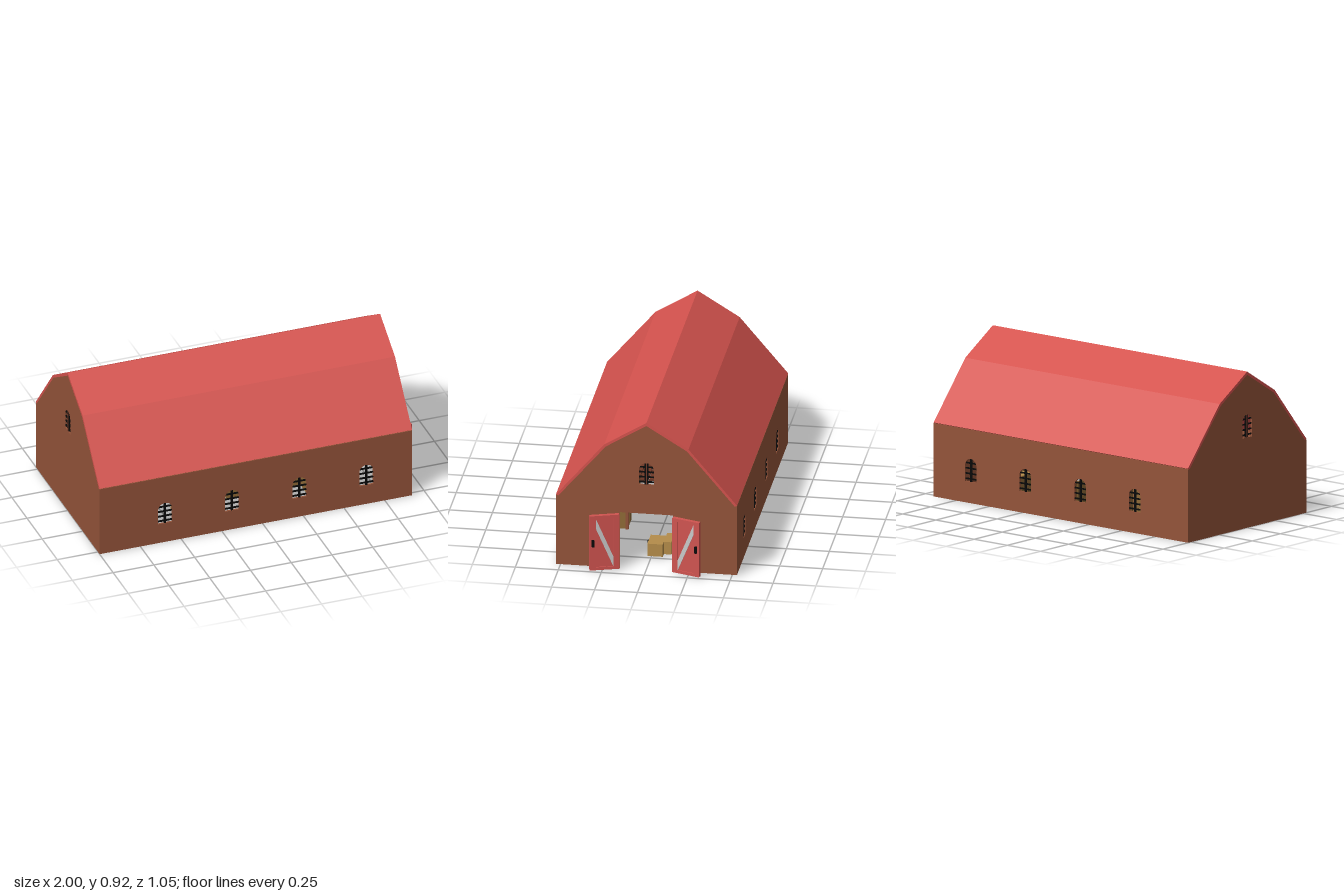
import * as THREE from 'three';

const mat = (name, color) => {
  const m = new THREE.MeshStandardMaterial({ color });
  m.name = name;
  return m;
};

export function createModel() {
  const M = {
    wall: mat('wallBrown', 0x935339),
    roof: mat('roofRed', 0xd4524d),
    door: mat('doorRed', 0xd05450),
    brace: mat('braceGrey', 0xcacaca),
    iron: mat('ironBlack', 0x080808),
    plank: mat('loftBrown', 0x713a28),
    stall: mat('stallTan', 0x8e6936),
    hay: mat('hayTan', 0xb48c4a),
    ladder: mat('ladderBlue', 0x4040b8),
  };
  const barn = new THREE.Group();
  barn.name = 'barn';
  const add = (parent, name, geo, material, x = 0, y = 0, z = 0) => {
    const m = new THREE.Mesh(geo, material);
    m.name = name;
    m.position.set(x, y, z);
    parent.add(m);
    return m;
  };
  const box = (parent, name, material, w, h, d, x, y, z) =>
    add(parent, name, new THREE.BoxGeometry(w, h, d), material, x, y, z);
  const group = (name, parent = barn) => {
    const g = new THREE.Group();
    g.name = name;
    parent.add(g);
    return g;
  };

  const X0 = -1, X1 = 0.917, HZ = 0.527, T = 0.012;
  const poly = (pts) => new THREE.Shape(pts.map(([x, y]) => new THREE.Vector2(x, y)));
  const extrude = (shape, depth) =>
    new THREE.ExtrudeGeometry(shape, { depth, bevelEnabled: false, curveSegments: 8 });
  // mirrors a half profile into a symmetric outline, starting on the right
  const mirrored = (half) => [...half, ...half.filter((p) => p[0] > 0).reverse().map(([a, b]) => [-a, b])];

  // Arched window opening and its bars
  const R = 0.043, WH = 0.135;
  const archHole = (x, y) => {
    const p = new THREE.Path();
    p.moveTo(x - R, y);
    p.lineTo(x + R, y);
    p.lineTo(x + R, y + WH - R);
    p.absarc(x, y + WH - R, R, 0, Math.PI, false);
    p.lineTo(x - R, y);
    return p;
  };
  const bars = (x, y, z, turn, mullion) => {
    const g = group('windowBars');
    g.position.set(x, y, z);
    g.rotation.y = turn;
    box(g, 'mullion', M.iron, mullion, WH, 0.008, 0, WH / 2, 0);
    for (let i = 0; i < 4; i++) {
      const h = 0.016 + i * 0.031;
      const over = Math.max(0, h - (WH - R));
      box(g, 'crossBar', M.iron, 2 * Math.sqrt(R * R - over * over), 0.008, 0.008, 0, h, 0);
    }
  };

  // Long side walls, each with four windows
  const windowXs = [-0.598, -0.187, 0.227, 0.637];
  for (const s of [1, -1]) {
    const shape = poly([[X0, 0], [X1, 0], [X1, 0.432], [X0, 0.432]]);
    for (const x of windowXs) {
      shape.holes.push(archHole(x, 0.125));
      bars(x, 0.125, s * (HZ - T / 2), 0, 0.012);
    }
    add(barn, 'sideWall', extrude(shape, T), M.wall, 0, 0, s > 0 ? HZ - T : -HZ);
  }

  // Gambrel roof, one panel for each slope
  const outer = mirrored([[HZ, 0.436], [0.245, 0.77], [0, 0.92]]);
  const inner = mirrored([[HZ - T, 0.428], [0.236, 0.757], [0, 0.901]]);
  for (let i = 0; i < 4; i++) {
    const slope = poly([outer[i], outer[i + 1], inner[i + 1], inner[i]]);
    add(barn, 'roofSlope', extrude(slope, X1 - X0).rotateY(Math.PI / 2), M.roof, X0);
  }

  // Gable walls, the right one with a doorway
  for (const right of [true, false]) {
    const E = HZ - T;
    const foot = right
      ? [[-E, 0], [-0.155, 0], [-0.155, 0.35], [0.155, 0.35], [0.155, 0], [E, 0]]
      : [[-E, 0], [E, 0]];
    const shape = poly([...foot, ...inner]);
    shape.holes.push(archHole(0, 0.532));
    const x = right ? X1 - T : X0;
    add(barn, 'gableWall', extrude(shape, T).rotateY(Math.PI / 2), M.wall, x);
    bars(x + T / 2, 0.532, 0, Math.PI / 2, 0.02);
    // wooden strip on both faces of the mullion
    for (const side of [-1, 1])
      box(barn, 'mullionStrip', M.plank, 0.003, WH, 0.007, x + T / 2 + side * 0.005, 0.532 + WH / 2, 0);
  }

  // Open double doors with frame, recessed panel, brace and handles
  const L = 0.172, H = 0.34, F = 0.035;
  for (const s of [1, -1]) {
    const hinge = group('doorHinge');
    hinge.scale.z = s;
    hinge.position.set(0.931, 0.005, s * 0.157);
    const d = group('door', hinge);
    d.rotation.y = 0.31;
    box(d, 'doorPanel', M.door, 0.012, H - 0.02, L - 0.02, 0, H / 2, L / 2);
    for (const z of [F / 2, L - F / 2]) box(d, 'doorStile', M.door, 0.024, H, F, 0, H / 2, z);
    for (const y of [0.009, H - 0.009])
      box(d, 'doorRail', M.door, 0.024, 0.018, L - 2 * F, 0, y, L / 2);
    const brace = poly([[-F, 0.018], [-F, 0.08], [-(L - F), H - 0.018], [-(L - F), H - 0.08]].reverse());
    add(d, 'doorBrace', extrude(brace, 0.02).rotateY(Math.PI / 2), M.brace, -0.01);
    for (const x of [-0.016, 0.016])
      box(d, 'doorHandle', M.iron, 0.011, 0.042, 0.014, x, 0.17, L - 0.018);
  }

  // Hay loft of long boards over cross joists
  const loft = group('hayLoft');
  const boards = 20, bw = (2 * (HZ - T)) / boards, loftX = 0.5;
  for (let i = 0; i < boards; i++)
    box(loft, 'loftBoard', M.plank, loftX - X0 - T, 0.012, bw - 0.006,
      (loftX + X0 + T) / 2, 0.378, -HZ + T + bw * (i + 0.5));

  // Stalls on both sides of the aisle: dividers, half fronts and posts
  const bayXs = [0.36, 0.025, -0.31, -0.652, -0.975];
  const aisle = 0.2, SH = 0.17;
  for (const s of [1, -1]) {
    const stalls = group('stalls');
    bayXs.forEach((x, i) => {
      const n = 3, w = (HZ - T - aisle) / n;
      for (let k = 0; k < n; k++) {
        const h = SH + 0.005 * ((k + i) % 2);
        box(stalls, 'stallDivider', M.stall, 0.012, h, w - 0.003, x, h / 2 + 0.003, s * (aisle + w * (k + 0.5)));
      }
      if (i < bayXs.length - 1)
        for (let k = 0; k < 2; k++)
          box(stalls, 'stallFront', M.stall, 0.061, SH, 0.012, x - 0.036 - 0.064 * k, SH / 2 + 0.003, s * aisle);
      box(stalls, 'loftPost', M.wall, 0.018, 0.36, 0.018, x, 0.18, s * (aisle - 0.002));
      box(loft, 'loftJoist', M.plank, 0.02, 0.016, HZ - T, x, 0.364, s * (HZ - T) / 2);
    });
  }

  // Leaning ladder up to the loft
  const ladder = group('ladder');
  ladder.position.set(0.525, 0.003, 0.425);
  ladder.rotation.x = -0.24;
  for (const x of [-0.026, 0.026]) box(ladder, 'ladderRail', M.ladder, 0.01, 0.4, 0.012, x, 0.2, 0);
  for (let i = 0; i < 11; i++)
    box(ladder, 'ladderRung', M.ladder, 0.05, 0.009, 0.009, 0, 0.03 + i * 0.034, 0);

  // Hay bales near the doorway and an iron bucket
  const bales = [[0.69, -0.025, 0.09], [0.65, -0.092, 0.045], [0.44, -0.3, 0.11]];
  for (const [x, z, d] of bales) box(barn, 'hayBale', M.hay, 0.13, 0.077, d, x, 0.052, z);
  box(barn, 'baleStrap', M.iron, 0.012, 0.078, 0.004, 0.71, 0.055, 0.022);
  add(barn, 'bucket', new THREE.CylinderGeometry(0.038, 0.03, 0.065, 14), M.iron, 0.55, 0.038, -0.31);

  return barn;
}
